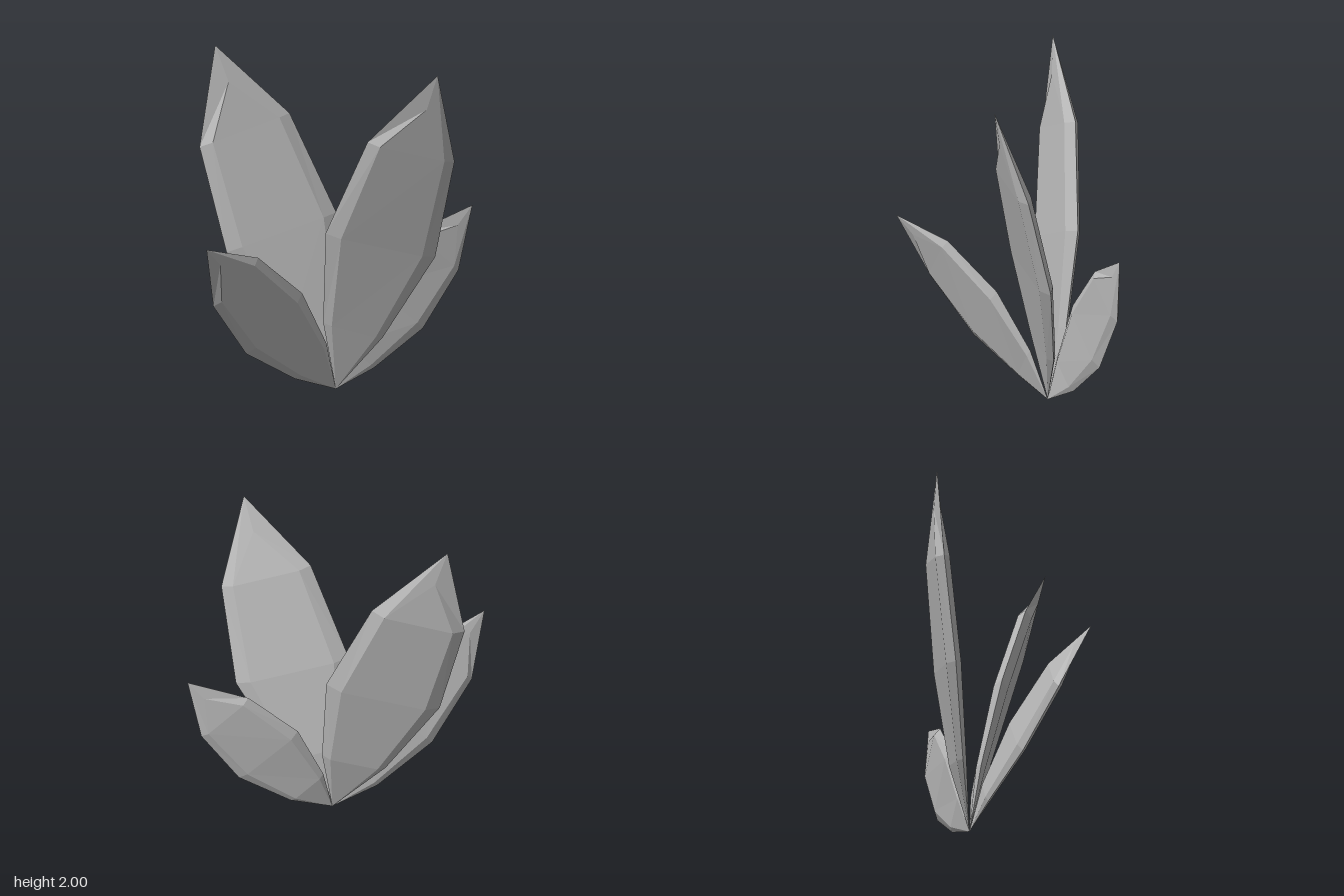
import * as THREE from 'three';

const BASE = [0.035, 0, -0.16];

// Each leaf: tip, then left and right rim points from the top station down.
const LEAVES = [
  { name: 'tallBackLeaf', tip: [-0.62, 2.0, -0.43],
    left: [[-0.72, 1.41, -0.4], [-0.58, 0.8, -0.315], [-0.27, 0.32, -0.235]],
    right: [[-0.18, 1.59, -0.41], [0.08, 1.01, -0.33], [0.1, 0.44, -0.25]] },
  { name: 'tallFrontLeaf', tip: [0.52, 1.89, 0.345],
    left: [[0.14, 1.49, 0.185], [-0.07, 0.94, 0.02], [-0.055, 0.4, -0.1]],
    right: [[0.66, 1.36, 0.185], [0.585, 0.78, 0.02], [0.3, 0.3, -0.1]] },
  { name: 'shortFrontLeaf', tip: [-0.885, 0.93, 0.44],
    left: [[-0.8, 0.57, 0.26], [-0.56, 0.26, 0.08], [-0.23, 0.08, -0.08]],
    right: [[-0.53, 0.845, 0.25], [-0.22, 0.6, 0.06], [-0.04, 0.28, -0.08]] },
  { name: 'shortBackLeaf', tip: [0.885, 1.03, -0.295],
    left: [[0.53, 0.885, -0.27], [0.24, 0.61, -0.24], [0.09, 0.265, -0.2]],
    right: [[0.805, 0.65, -0.31], [0.585, 0.32, -0.28], [0.28, 0.105, -0.23]] },
];

const THICKNESS = [0.04, 0.042, 0.027]; // half thickness per station, for a leaf of length 2
const INSET = 0.13; // bevel width as a share of the leaf width

function leafGeometry({ tip, left, right }) {
  const vec = (p) => new THREE.Vector3(...p);
  const base = vec(BASE), T = vec(tip), L = left.map(vec), R = right.map(vec);
  const axis = T.clone().sub(base);
  const size = axis.length() / 2;
  const normal = R[1].clone().sub(L[1]).cross(axis).normalize();
  const positions = [];

  for (const side of [1, -1]) {
    const tri = (a, b, c) => {
      for (const p of side > 0 ? [a, b, c] : [a, c, b]) positions.push(p.x, p.y, p.z);
    };
    const quad = (a, b, c, d) => { tri(a, b, c); tri(a, c, d); };
    const raise = (p, h) => p.addScaledVector(normal, side * h * size);

    // Raised panel points inside the rim
    const l = L.map((p, i) => raise(p.clone().lerp(R[i], INSET), THICKNESS[i]));
    const r = R.map((p, i) => raise(p.clone().lerp(L[i], INSET), THICKNESS[i]));
    const t = raise(L[0].clone().add(R[0]).multiplyScalar(0.5).lerp(T, 0.57), 0.02);

    // Tip
    tri(l[0], r[0], t);
    quad(L[0], l[0], t, T);
    quad(r[0], R[0], T, t);
    // Panel with its two bevels
    for (let i = 0; i < 2; i++) {
      quad(l[i + 1], r[i + 1], r[i], l[i]);
      quad(L[i + 1], l[i + 1], l[i], L[i]);
      quad(r[i + 1], R[i + 1], R[i], r[i]);
    }
    // Fan into the shared base point
    tri(base, r[2], l[2]);
    tri(base, l[2], L[2]);
    tri(base, R[2], r[2]);
  }

  const geometry = new THREE.BufferGeometry();
  geometry.setAttribute('position', new THREE.Float32BufferAttribute(positions, 3));
  geometry.computeVertexNormals();
  return geometry;
}

export function createModel() {
  const group = new THREE.Group();
  group.name = 'leafCluster';
  const material = new THREE.MeshStandardMaterial({ color: 0xb8b8b8 });
  material.name = 'leafGrey';
  for (const leaf of LEAVES) {
    const mesh = new THREE.Mesh(leafGeometry(leaf), material);
    mesh.name = leaf.name;
    group.add(mesh);
  }
  return group;
}
